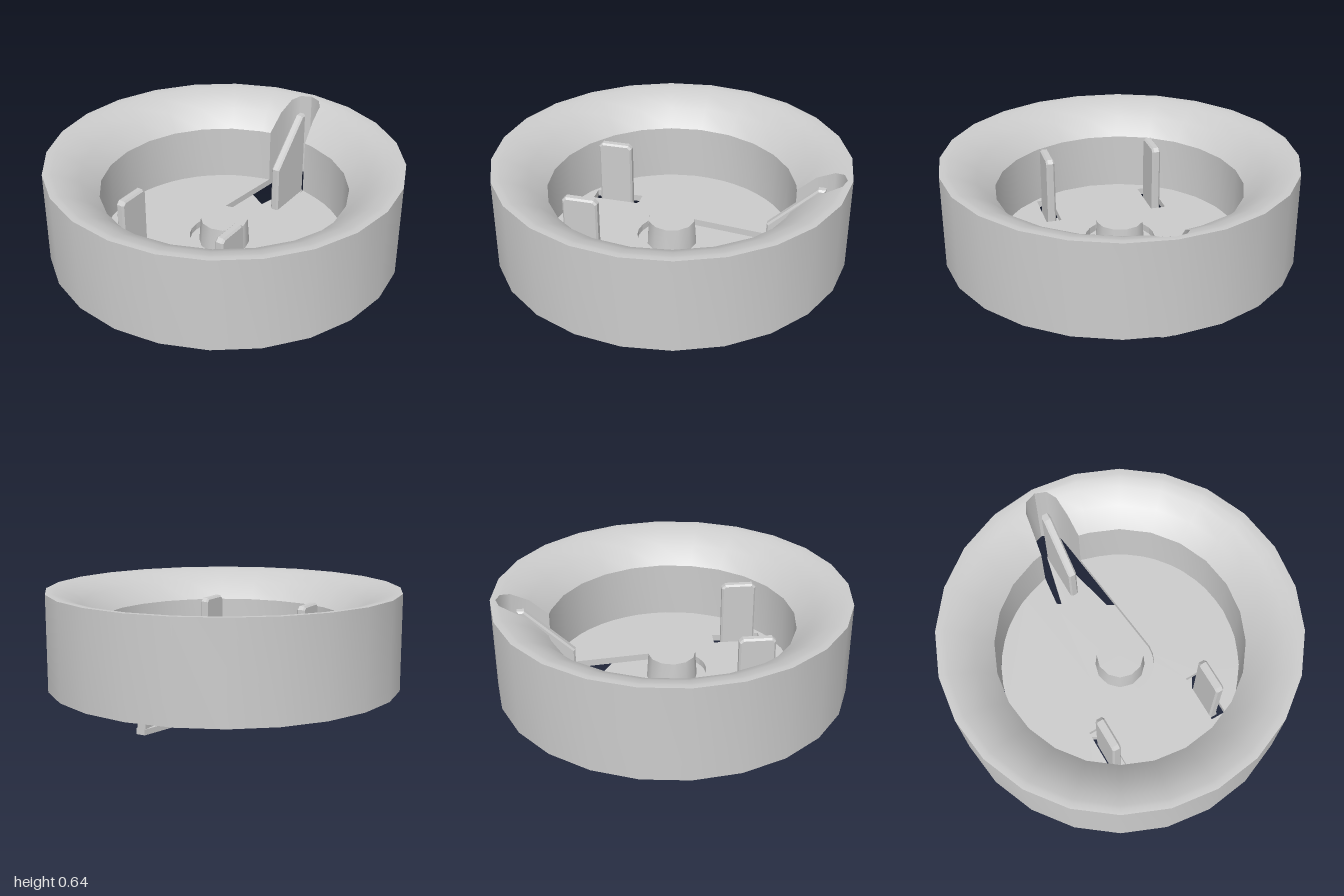
import * as THREE from 'three';
import { toCreasedNormals } from 'three/addons/utils/BufferGeometryUtils.js';

const mat = new THREE.MeshStandardMaterial({ color: 0xcccccc, side: THREE.DoubleSide });

// Plan outlines are drawn as [x, -z] and extruded upwards.
const shapeOf = pts => new THREE.Shape(pts.map(p => new THREE.Vector2(p[0], p[1])));
const arc = (r, from, to, n) => Array.from({ length: n + 1 }, (_, i) => {
  const a = from + (to - from) * i / n;
  return [r * Math.cos(a), r * Math.sin(a)];
});

// Slot through the rim: radius, half-width, height of the flared rim there
const rim = [[0.7, 0.123, 0.47], [0.8, 0.112, 0.57], [0.9, 0.098, 0.622], [0.95, 0.065, 0.636], [0.97, 0, 0.64]];
const BOTTOM = 0.1, FLOOR = 0.14;
const slotAngle = r => {
  const s = rim.find(p => Math.abs(p[0] - r) < 1e-4);
  return s ? Math.asin(s[1] / s[0]) : 0;
};

function rimGeometry() {
  const profile = [
    ...rim.map(p => [p[0], BOTTOM]), [1, BOTTOM], [1, 0.64],
    ...rim.map(p => [p[0], p[2]]).reverse(), [0.7, BOTTOM],
  ].map(p => new THREE.Vector2(p[0], p[1]));
  const segs = 24;
  const geo = new THREE.LatheGeometry(profile, segs, Math.PI);
  const pos = geo.attributes.position;
  // pull the two seam columns apart to open the slot at the back
  for (let i = 0; i <= segs; i += segs) {
    profile.forEach((p, j) => {
      const a = Math.PI + (i === 0 ? 1 : -1) * slotAngle(p.x);
      pos.setXYZ(i * profile.length + j, p.x * Math.sin(a), p.y, p.x * Math.cos(a));
    });
  }
  return toCreasedNormals(geo, 0.6);
}

function slotWallGeometry(side) {
  const pos = [], index = [];
  rim.forEach(([r, w, top], i) => {
    const z = -Math.sqrt(r * r - w * w);
    pos.push(side * w, BOTTOM, z, side * w, top, z);
    if (i) {
      const a = 2 * i - 2;
      if (side < 0) index.push(a, a + 2, a + 1, a + 1, a + 2, a + 3);
      else index.push(a, a + 1, a + 2, a + 1, a + 3, a + 2);
    }
  });
  const geo = new THREE.BufferGeometry();
  geo.setAttribute('position', new THREE.Float32BufferAttribute(pos, 3));
  geo.setIndex(index);
  geo.computeVertexNormals();
  return geo;
}

export function createModel() {
  const model = new THREE.Group();
  const add = (name, geo, x = 0, y = 0, z = 0) => {
    const mesh = new THREE.Mesh(geo, mat);
    mesh.name = name;
    mesh.position.set(x, y, z);
    model.add(mesh);
    return mesh;
  };
  const plate = (name, shape, y, depth) => {
    const geo = new THREE.ExtrudeGeometry(shape, { depth, bevelEnabled: false });
    add(name, geo.rotateX(-Math.PI / 2), 0, y, 0);
  };

  // Round housing with its flared rim and rear slot
  add('rim', rimGeometry());
  for (const s of [-1, 1]) add('slotWall', slotWallGeometry(s));

  // Floor, notched by the keyhole slot and pierced for the two front pins
  const a0 = Math.PI / 2 - slotAngle(0.7);
  const outer = arc(0.7, Math.PI / 2 + slotAngle(0.7), 2 * Math.PI + a0, 24);
  const floor = shapeOf([...outer, ...arc(0.2, 0, -Math.PI, 12)]);
  for (const s of [-1, 1]) {
    const x = s * 0.325;
    floor.holes.push(shapeOf([[x - 0.045, -0.57], [x + 0.045, -0.57], [x + 0.045, -0.285], [x - 0.045, -0.285]]));
  }
  plate('floor', floor, BOTTOM, FLOOR - BOTTOM);

  // Skewed plate under the floor
  plate('middlePlate', shapeOf([[-0.16, 0.54], [-0.65, -0.11], [0.12, -0.63], [0.55, 0.1]]), 0.045, 0.055);

  // Triangular carrier plate with its pivot hole
  const carrier = shapeOf([[-0.35, -0.53], [0.35, -0.53], [0.025, 0.86], [-0.025, 0.86]]);
  carrier.holes.push(shapeOf(arc(0.14, 0, 2 * Math.PI, 12).slice(0, 12)));
  plate('carrierPlate', carrier, 0, 0.03);

  // Pivot
  add('pivot', toCreasedNormals(new THREE.CylinderGeometry(0.135, 0.15, 0.22, 12), 0.7), 0, 0.14, 0);

  // Upright pins: side outline in [z, y], extruded across x
  const pin = (name, outline, x, width) => {
    const geo = new THREE.ExtrudeGeometry(shapeOf(outline), {
      depth: width - 0.02, bevelThickness: 0.01, bevelSize: 0.01, bevelOffset: -0.01, bevelSegments: 1,
    });
    geo.translate(0, 0, -width / 2 + 0.01).rotateY(-Math.PI / 2);
    add(name, geo, x, 0, 0);
  };
  for (const s of [-1, 1]) {
    pin('frontPin', [[0.33, 0.01], [0.53, 0.01], [0.53, 0.49], [0.51, 0.51], [0.35, 0.51], [0.33, 0.49]], s * 0.325, 0.05);
  }
  pin('rearPin', [[-0.86, 0.01], [-0.55, 0.01], [-0.55, 0.31], [-0.82, 0.57], [-0.86, 0.57]], 0, 0.05);

  return model;
}
